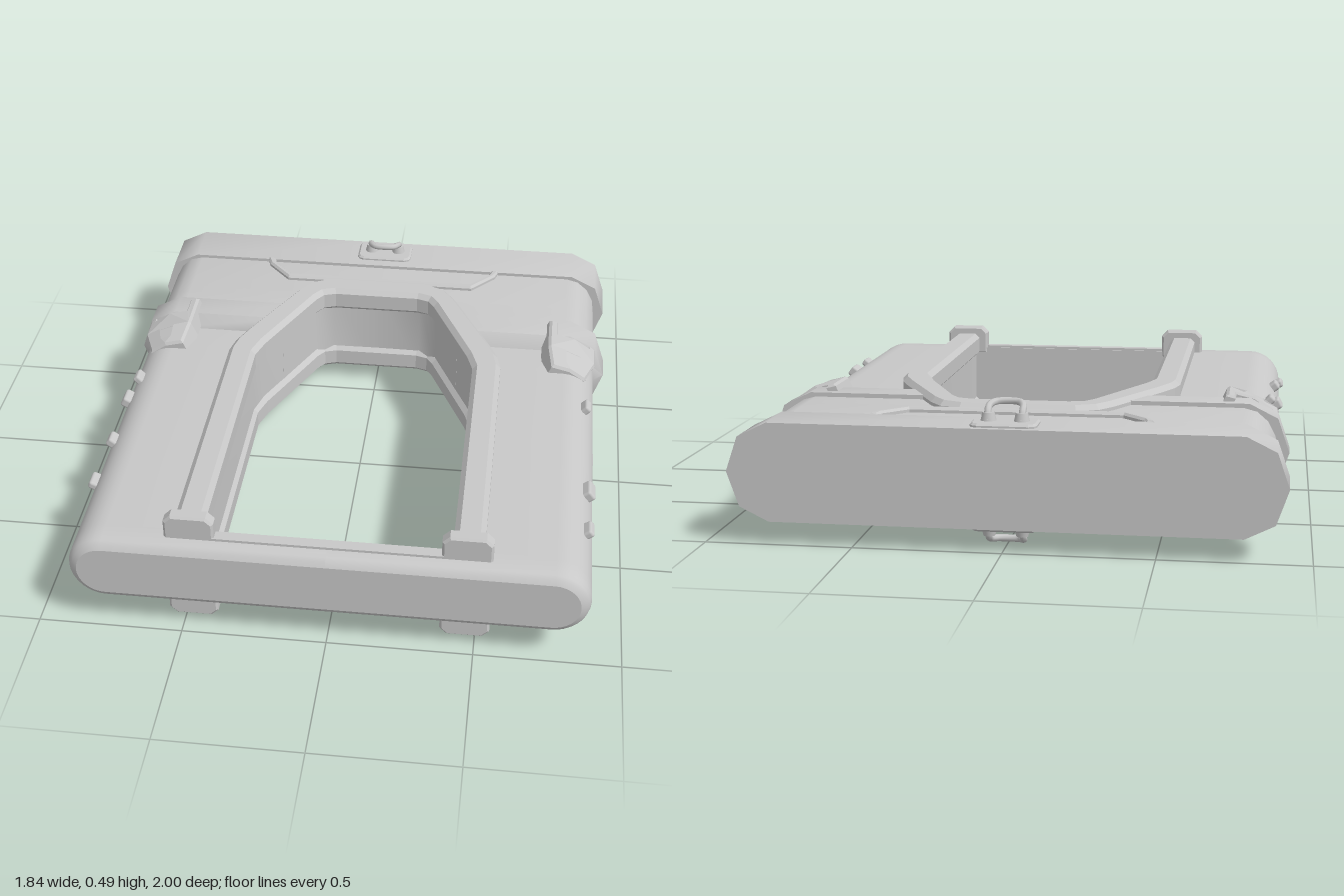
import * as THREE from 'three';
import { toCreasedNormals } from 'three/addons/utils/BufferGeometryUtils.js';
import { RoundedBoxGeometry } from 'three/addons/geometries/RoundedBoxGeometry.js';

const MID = 0.245; // height of the horizontal plane of symmetry

export function createModel() {
  const model = new THREE.Group();
  model.name = 'caseFrame';
  const core = new THREE.Group();
  core.name = 'core';
  core.position.y = MID;
  model.add(core);
  const grey = new THREE.MeshStandardMaterial({ color: 0xc8c8c8 });
  grey.name = 'lightGrey';

  const add = (geo, name, parent = core) => {
    const mesh = new THREE.Mesh(geo, grey);
    mesh.name = name;
    parent.add(mesh);
    return mesh;
  };
  // half a turn about z carries a part to the opposite side and face
  const addTwice = (geo, name) => {
    add(geo, name);
    add(geo, name).rotation.z = Math.PI;
  };

  // half shell lofted front to back; station = [z, innerX, outerX, halfHeight, endRadius]
  function loft(stations, segs, crease) {
    const pos = [], idx = [], n = segs + 3;
    for (const [z, w, X, h, r] of stations) {
      pos.push(w, -h, z);
      for (let i = 0; i <= segs; i++) {
        const a = -Math.PI / 2 + (Math.PI * i) / segs;
        pos.push(X - r + r * Math.cos(a), h * Math.sin(a), z);
      }
      pos.push(w, h, z);
    }
    for (let k = 0; k < stations.length - 1; k++) {
      for (let i = 0; i < n; i++) {
        const a = k * n + i, c = k * n + ((i + 1) % n);
        idx.push(a, a + n, c, c, a + n, c + n);
      }
    }
    const last = (stations.length - 1) * n;
    for (let i = 1; i < n - 1; i++) {
      idx.push(0, i, i + 1, last, last + i + 1, last + i);
    }
    const geo = new THREE.BufferGeometry();
    geo.setAttribute('position', new THREE.Float32BufferAttribute(pos, 3));
    geo.setIndex(idx);
    return toCreasedNormals(geo, crease);
  }

  // plan outline (x, z) extruded upwards from y0 to y1 with a small bevel
  function plate(points, y0, y1, bevel, hole) {
    const toShape = (pts) => pts.map(([x, z]) => new THREE.Vector2(x, -z));
    const shape = new THREE.Shape(toShape(points));
    if (hole) shape.holes.push(new THREE.Path(toShape(hole)));
    const geo = new THREE.ExtrudeGeometry(shape, {
      depth: y1 - y0 - 2 * bevel, bevelThickness: bevel, bevelSize: bevel,
      bevelOffset: -bevel, bevelSegments: 1, bevelEnabled: true,
    });
    return geo.rotateX(-Math.PI / 2).translate(0, y0 + bevel, 0);
  }
  // U outline from right-hand outer and inner edges, each running front to back
  function uOutline(outer, inner) {
    const flip = (pts) => pts.map(([x, z]) => [-x, z]);
    return [...outer, ...flip(outer).reverse(), ...flip(inner), ...[...inner].reverse()];
  }

  // main body with rounded nose and the opening cut through it
  addTwice(loft([
    [1, 0, 0.847, 0.092, 0.092], [0.99, 0, 0.8643, 0.1093, 0.1093],
    [0.978, 0, 0.8743, 0.1193, 0.1193], [0.962, 0, 0.88, 0.125, 0.125],
    [0.9, 0, 0.88, 0.125, 0.125], [0.899, 0.43, 0.88, 0.125, 0.125],
    [-0.1, 0.43, 0.88, 0.125, 0.125], [-0.19, 0.405, 0.88, 0.125, 0.125],
    [-0.36, 0.327, 0.88, 0.125, 0.125],
  ], 16, 0.4), 'bodyHalf');
  // raised band with sloped front edge
  addTwice(loft([
    [-0.32, 0.345, 0.88, 0.125, 0.125], [-0.36, 0.327, 0.92, 0.17, 0.14],
    [-0.47, 0.277, 0.92, 0.17, 0.14],
  ], 4, 0.8), 'bandHalf');
  // neck between band and end cap
  addTwice(loft([
    [-0.47, 0.277, 0.88, 0.155, 0.12], [-0.54, 0.245, 0.88, 0.155, 0.12],
    [-0.585, 0.175, 0.88, 0.155, 0.12], [-0.586, 0, 0.88, 0.155, 0.12],
    [-0.81, 0, 0.88, 0.155, 0.12],
  ], 8, 0.6), 'neckHalf');
  addTwice(loft([
    [-0.81, 0, 0.92, 0.167, 0.14], [-1, 0, 0.92, 0.167, 0.14],
  ], 4, 0.8), 'endCapHalf');

  // frame around the opening, on top and underneath
  addTwice(plate(uOutline(
    [[0.52, 0.92], [0.52, -0.12], [0.505, -0.19], [0.47, -0.27], [0.32, -0.57], [0.275, -0.635], [0.2, -0.67]],
    [[0.415, 0.92], [0.415, -0.1], [0.39, -0.18], [0.235, -0.52], [0.21, -0.555], [0.165, -0.57]],
  ), 0.09, 0.185, 0.018), 'openingFrame');

  // trapezoid rim on the neck
  addTwice(plate(uOutline(
    [[0.48, -0.82], [0.465, -0.775], [0.375, -0.675]],
    [[0.45, -0.82], [0.44, -0.785], [0.365, -0.705]],
  ), 0.14, 0.173, 0.008), 'neckRim');

  // chamfered brackets at the front ends of the frame, and the sill between
  const bracket = new THREE.Shape([
    [0.38, 0.1], [0.55, 0.1], [0.55, 0.19], [0.525, 0.215], [0.405, 0.215], [0.38, 0.19],
  ].map(([x, y]) => new THREE.Vector2(x, y)));
  const bracketGeo = new THREE.ExtrudeGeometry(bracket, {
    depth: 0.034, bevelThickness: 0.008, bevelSize: 0.008, bevelOffset: -0.008, bevelSegments: 1,
  });
  bracketGeo.translate(0, 0, 0.903);
  const otherBracket = bracketGeo.clone().translate(-0.93, 0, 0);
  addTwice(bracketGeo, 'frontBracket');
  addTwice(otherBracket, 'frontBracket');
  addTwice(new THREE.BoxGeometry(0.8, 0.03, 0.04).translate(0, 0.119, 0.925), 'frontSill');

  // forked latches folded over the four long edges
  const latchGeo = plate([
    [0.1, -0.135], [0.1, 0.04], [0.07, 0.13], [0, 0.13], [-0.07, 0.13], [-0.1, 0.04],
    [-0.1, -0.135], [-0.065, -0.135], [-0.065, -0.05], [0, -0.05], [0.065, -0.05], [0.065, -0.135],
  ], -0.03, 0.045, 0.008, [[-0.04, 0.035], [0.04, 0.035], [0.03, 0.1], [-0.03, 0.1]]);
  const p = latchGeo.attributes.position;
  for (let i = 0; i < p.count; i++) {
    p.setY(i, p.getY(i) - 0.18 * Math.abs(p.getX(i)) - 0.35 * Math.max(0, p.getZ(i) - 0.035));
  }
  latchGeo.computeVertexNormals();
  for (const sx of [1, -1]) {
    for (const sy of [1, -1]) {
      const latch = new THREE.Group();
      latch.name = 'latch';
      latch.position.set(0.78 * sx, 0.13 * sy, -0.3);
      latch.rotation.z = (sy > 0 ? 0 : Math.PI) - 0.42 * sx * sy;
      core.add(latch);
      add(latchGeo, 'latchPlate', latch);
      const tab = new RoundedBoxGeometry(0.09, 0.03, 0.08, 1, 0.006);
      const tabMesh = add(tab, 'latchTab', latch);
      tabMesh.position.set(0, 0.003, 0.067);
      tabMesh.rotation.x = 0.34;
    }
  }

  // small studs along the sides: [side, height, z, length, width]
  const studs = [
    [1, 0.075, 0.69, 0.065, 0.03], [1, 0.075, 0.48, 0.075, 0.042], [1, 0.09, 0, 0.06, 0.03],
    [1, -0.08, 0.41, 0.065, 0.03], [1, -0.07, 0.1, 0.075, 0.04], [1, -0.08, -0.09, 0.06, 0.03],
    [-1, 0.09, 0, 0.06, 0.03], [-1, 0.06, 0.1, 0.07, 0.04], [-1, 0.075, 0.38, 0.06, 0.035],
    [-1, 0.05, 0.59, 0.07, 0.03], [-1, -0.07, 0.68, 0.065, 0.03], [-1, -0.075, 0.3, 0.065, 0.035],
  ];
  for (const [side, y, z, length, width] of studs) {
    const a = Math.asin(y / 0.125);
    const stud = add(new RoundedBoxGeometry(0.045, width, length, 2, 0.01), 'sideStud');
    stud.position.set(side * (0.755 + 0.13 * Math.cos(a)), y * 1.04, z);
    stud.rotation.z = a * side;
  }

  // hanging loop with base plate and eyelets on both faces of the end cap
  const loop = new THREE.CatmullRomCurve3([
    [-0.055, 0.18, -0.93], [-0.057, 0.21, -0.915], [-0.055, 0.226, -0.885], [-0.035, 0.232, -0.856],
    [0.035, 0.232, -0.856], [0.055, 0.226, -0.885], [0.057, 0.21, -0.915], [0.055, 0.18, -0.93],
  ].map((v) => new THREE.Vector3(...v)));
  addTwice(new THREE.TubeGeometry(loop, 40, 0.012, 8), 'hangingLoop');
  addTwice(plate([
    [0.11, -0.955], [0.11, -0.875], [0.103, -0.858], [0.085, -0.85], [-0.085, -0.85], [-0.103, -0.858],
    [-0.11, -0.875], [-0.11, -0.955], [-0.103, -0.972], [-0.085, -0.98], [0.085, -0.98], [0.103, -0.972],
  ], 0.155, 0.18, 0.007), 'loopBase');
  for (const x of [-0.055, 0.055]) {
    addTwice(new THREE.CylinderGeometry(0.02, 0.027, 0.03, 16).translate(x, 0.192, -0.915), 'eyelet');
  }
  return model;
}
